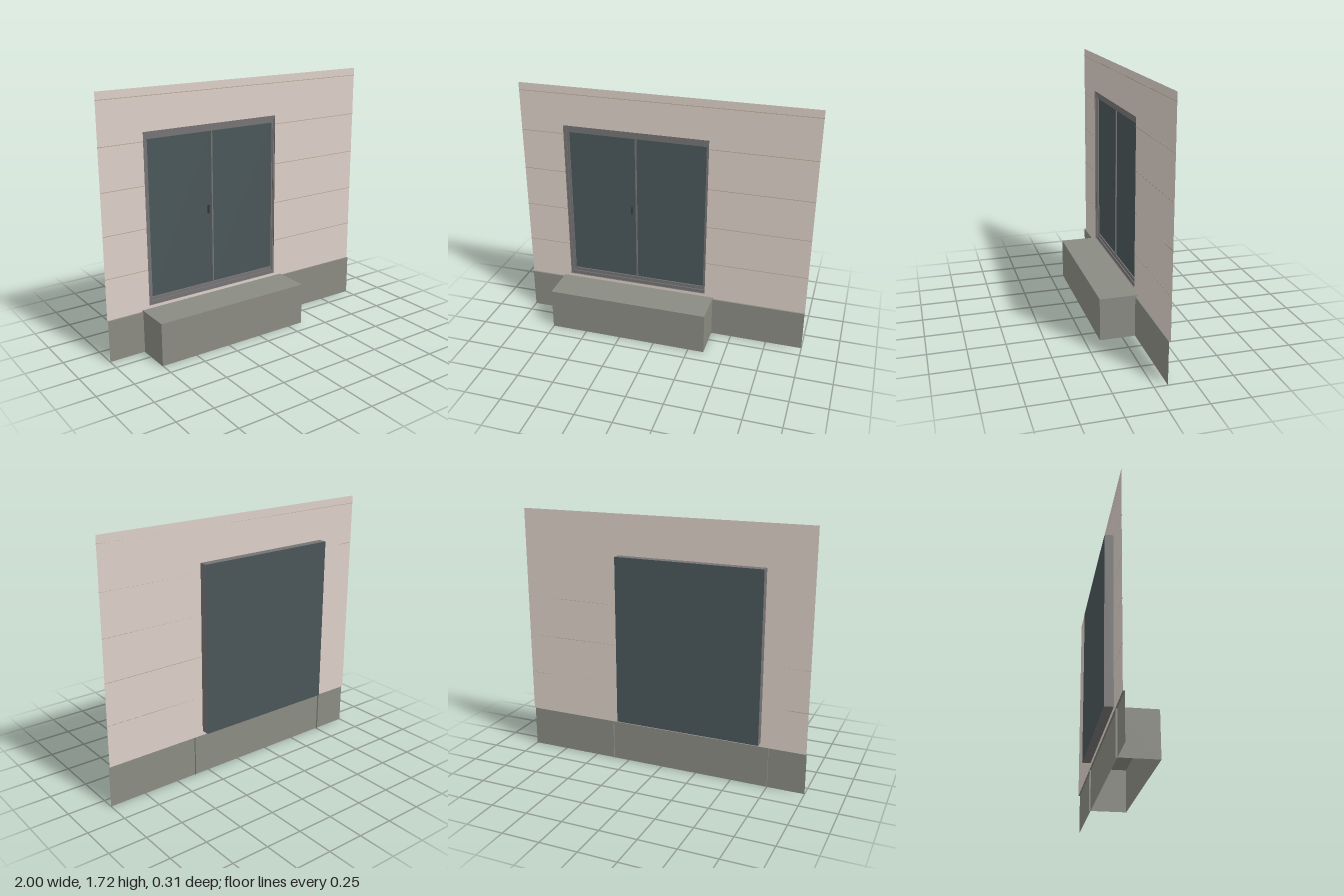
import * as THREE from 'three';

const mat = (color) => new THREE.MeshStandardMaterial({ color, side: THREE.DoubleSide, flatShading: true });
const wallMat = mat(0xdccfc7);
const grooveMat = mat(0xb9a68f);
const stoneMat = mat(0x8a8b82);
const frameMat = mat(0x757373);
const glassMat = mat(0x4a5659);
const handleMat = mat(0x3c3c3c);

const WALL_Z = -0.097, BASE_Z = -0.086, BACK_Z = -0.153, FRONT_Z = 0.153;
const BASE_TOP = 0.28, WALL_TOP = 1.72;
const open = { x0: -0.7, x1: 0.3, y0: 0.31, y1: 1.45 };

// Rectangle outline, usable as a shape or as a hole
function rect(x0, y0, x1, y1, Type = THREE.Shape) {
  const s = new Type();
  s.moveTo(x0, y0);
  s.lineTo(x1, y0);
  s.lineTo(x1, y1);
  s.lineTo(x0, y1);
  s.closePath();
  return s;
}

function add(parent, name, geometry, material) {
  const mesh = new THREE.Mesh(geometry, material);
  mesh.name = name;
  parent.add(mesh);
  return mesh;
}

// Upright panel facing +z
function panel(parent, name, x0, y0, x1, y1, z, material) {
  const m = add(parent, name, new THREE.PlaneGeometry(x1 - x0, y1 - y0), material);
  m.position.set((x0 + x1) / 2, (y0 + y1) / 2, z);
}

// Level panel facing up
function shelf(parent, name, x0, x1, y, z0, z1, material) {
  const m = add(parent, name, new THREE.PlaneGeometry(x1 - x0, z1 - z0).rotateX(-Math.PI / 2), material);
  m.position.set((x0 + x1) / 2, y, (z0 + z1) / 2);
}

// Upright panel facing +x
function cheek(parent, name, x, y0, y1, z0, z1, material) {
  const m = add(parent, name, new THREE.PlaneGeometry(z1 - z0, y1 - y0).rotateY(Math.PI / 2), material);
  m.position.set(x, (y0 + y1) / 2, (z0 + z1) / 2);
}

function box(parent, name, x0, y0, z0, x1, y1, z1, material) {
  const m = add(parent, name, new THREE.BoxGeometry(x1 - x0, y1 - y0, z1 - z0), material);
  m.position.set((x0 + x1) / 2, (y0 + y1) / 2, (z0 + z1) / 2);
}

function makeWall() {
  const g = new THREE.Group();
  g.name = 'wall';
  const face = rect(-1, BASE_TOP, 1, WALL_TOP);
  face.holes.push(rect(open.x0, open.y0, open.x1, open.y1, THREE.Path));
  add(g, 'wallFace', new THREE.ShapeGeometry(face), wallMat).position.z = WALL_Z;

  // Thin course lines, interrupted by the opening
  for (let i = 0; i < 5; i++) {
    const y = 0.557 + i * 0.278;
    const spans = y < open.y1 ? [[-1, open.x0], [open.x1, 1]] : [[-1, 1]];
    for (const [a, b] of spans) {
      box(g, 'courseLine', a, y - 0.002, WALL_Z, b, y + 0.002, WALL_Z + 0.002, grooveMat);
    }
  }
  return g;
}

function makePlinth() {
  const g = new THREE.Group();
  g.name = 'plinth';
  panel(g, 'plinthFace', -1, 0, 1, BASE_TOP, BASE_Z, stoneMat);
  shelf(g, 'plinthLedge', -1, 1, BASE_TOP, WALL_Z, BASE_Z, stoneMat);
  return g;
}

// Step block, open underneath and behind
function makeStep() {
  const g = new THREE.Group();
  g.name = 'step';
  const x0 = -0.752, x1 = 0.36, top = 0.29;
  panel(g, 'stepFront', x0, 0, x1, top, FRONT_Z, stoneMat);
  shelf(g, 'stepTop', x0, x1, top, WALL_Z, FRONT_Z, stoneMat);
  for (const x of [x0, x1]) cheek(g, 'stepSide', x, 0, top, WALL_Z, FRONT_Z, stoneMat);
  return g;
}

function makeDoor() {
  const g = new THREE.Group();
  g.name = 'glassDoor';
  const { x0, x1, y0, y1 } = open;

  // Casing around the opening, closed by the rear pane
  for (const x of [x0, x1]) cheek(g, 'jamb', x, y0, y1, BACK_Z, WALL_Z, frameMat);
  for (const y of [y0, y1]) shelf(g, 'headOrSill', x0, x1, y, BACK_Z, WALL_Z, frameMat);
  panel(g, 'rearPane', x0, y0, x1, y1, BACK_Z, glassMat);

  // Outer frame, and a sash frame set back inside it with two lights
  const outer = rect(x0, y0, x1, y1);
  outer.holes.push(rect(-0.683, 0.334, 0.292, 1.424, THREE.Path));
  const sash = rect(-0.683, 0.334, 0.292, 1.424);
  const lights = [[-0.667, -0.204], [-0.194, 0.282]];
  for (const [a, b] of lights) sash.holes.push(rect(a, 0.358, b, 1.4, THREE.Path));
  for (const [name, shape, z] of [['outerFrame', outer, -0.105], ['sashFrame', sash, -0.112]]) {
    const geo = new THREE.ExtrudeGeometry(shape, { depth: 0.03, bevelEnabled: false });
    add(g, name, geo, frameMat).position.z = z - 0.03;
  }
  for (const [a, b] of lights) panel(g, 'glass', a, 0.358, b, 1.4, -0.12, glassMat);

  // Pull handle by the meeting stile
  box(g, 'handle', -0.235, 0.85, -0.12, -0.224, 0.907, -0.105, handleMat);
  return g;
}

export function createModel() {
  const model = new THREE.Group();
  model.name = 'wallWithGlassDoor';
  model.add(makeWall(), makePlinth(), makeStep(), makeDoor());
  return model;
}
